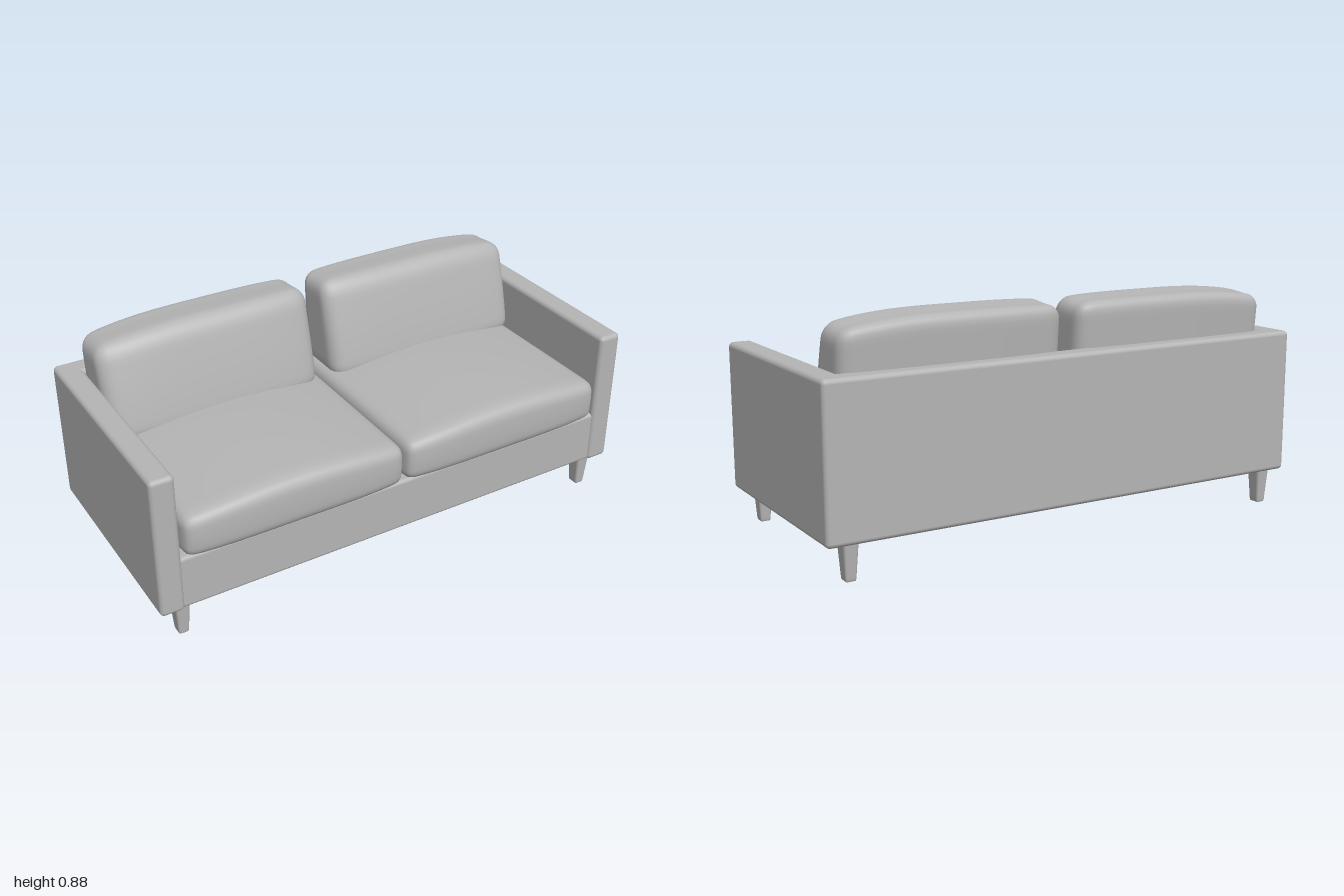
import * as THREE from 'three';
import { RoundedBoxGeometry } from 'three/addons/geometries/RoundedBoxGeometry.js';
import { mergeVertices } from 'three/addons/utils/BufferGeometryUtils.js';

const fabric = new THREE.MeshStandardMaterial({ color: 0xb4b4b4 });
fabric.name = 'grey fabric';

function add(parent, name, geometry) {
  const mesh = new THREE.Mesh(geometry, fabric);
  mesh.name = name;
  parent.add(mesh);
  return mesh;
}

// Rounded block given by its minimum and maximum corners
function block(parent, name, min, max, radius) {
  const s = max.map((v, i) => v - min[i]);
  const mesh = add(parent, name, new RoundedBoxGeometry(s[0], s[1], s[2], 4, radius));
  mesh.position.set(...max.map((v, i) => (v + min[i]) / 2));
  return mesh;
}

// Soft block: rounded edges, then a warp rule. Warp gets the point and its -1..1 coordinates.
function softBlock(w, h, d, radius, warp) {
  const g = new THREE.BoxGeometry(2, 2, 2, 28, 20, 20);
  g.deleteAttribute('uv');
  g.deleteAttribute('normal');
  const geometry = mergeVertices(g);
  const pos = geometry.attributes.position;
  const half = new THREE.Vector3(w / 2, h / 2, d / 2);
  const inner = half.clone().subScalar(radius);
  const p = new THREE.Vector3(), core = new THREE.Vector3();
  for (let i = 0; i < pos.count; i++) {
    p.fromBufferAttribute(pos, i);
    // crowd the grid towards the edges
    p.set(...p.toArray().map((v) => Math.sin(v * Math.PI / 2))).multiply(half);
    core.copy(p).clamp(inner.clone().negate(), inner);
    p.sub(core).setLength(radius).add(core);
    warp(p, p.clone().divide(half));
    pos.setXYZ(i, p.x, p.y, p.z);
  }
  geometry.computeVertexNormals();
  return geometry;
}

export function createModel() {
  const sofa = new THREE.Group();
  sofa.name = 'sofa';

  // Frame
  block(sofa, 'backPanel', [-0.998, 0.13, -0.465], [0.998, 0.697, -0.375], 0.018);
  block(sofa, 'frontRail', [-0.92, 0.13, 0.35], [0.92, 0.347, 0.425], 0.015);
  block(sofa, 'seatDeck', [-0.92, 0.145, -0.4], [0.92, 0.342, 0.4], 0.005);

  for (const side of [-1, 1]) {
    const label = side > 0 ? 'left' : 'right';

    // Arm
    const x = [side * 0.905, side * 0.998].sort((a, b) => a - b);
    block(sofa, label + 'Arm', [x[0], 0.13, -0.465], [x[1], 0.697, 0.435], 0.018);

    // Seat cushion, crowned on top and bulging at the front
    const seat = softBlock(0.888, 0.165, 0.82, 0.04, (p, u) => {
      const cx = 1 - u.x * u.x, cz = 1 - u.z * u.z;
      p.y += 0.05 * cx * (0.75 + 0.25 * cz) * (u.y + 1) / 2;
      if (u.z > 0) p.z += u.z * (0.022 * (1 - u.x ** 4) + 0.008 * (1 - u.y * u.y));
    });
    add(sofa, label + 'SeatCushion', seat).position.set(side * 0.449, 0.425, 0.027);

    // Back cushion: sloping front, nearly upright back, top falling at the outer end
    const back = softBlock(0.872, 0.39, 0.25, 0.055, (p, u) => {
      const t = (u.y + 1) / 2;
      const cx = 1 - u.x ** 4;
      const front = THREE.MathUtils.lerp(-0.1, -0.2, t ** 1.25) + 0.025 * (cx - 1);
      const rear = THREE.MathUtils.lerp(-0.395, -0.415, t) - 0.015 * (cx - 1);
      const outer = Math.max(0, u.x * side), innerEnd = Math.max(0, -u.x * side);
      p.z = THREE.MathUtils.lerp(rear, front, (u.z + 1) / 2);
      p.y -= t * (0.035 * outer ** 2.5 + 0.008 * innerEnd ** 4);
      p.y += 0.012 * t * (u.z - 0.1) * (1 - u.z * u.z);
    });
    add(sofa, label + 'BackCushion', back).position.set(side * 0.469 - 0.03 * (side < 0 ? 0 : 1) + (side < 0 ? -0.002 : 0.03), 0.681, 0);

    // Tapered legs with softened square section
    for (const [end, z] of [['Front', 0.377], ['Back', -0.419]]) {
      const leg = softBlock(0.058, 0.145, 0.07, 0.012, (p, u) => {
        const k = 0.84 + 0.17 * u.y;
        p.x *= k;
        p.z *= k;
        // keep the ends flat
        p.y = THREE.MathUtils.clamp(p.y * 1.06, -0.0725, 0.0725);
      });
      add(sofa, label + end + 'Leg', leg).position.set(side * 0.905, 0.0725, z);
    }
  }
  return sofa;
}
